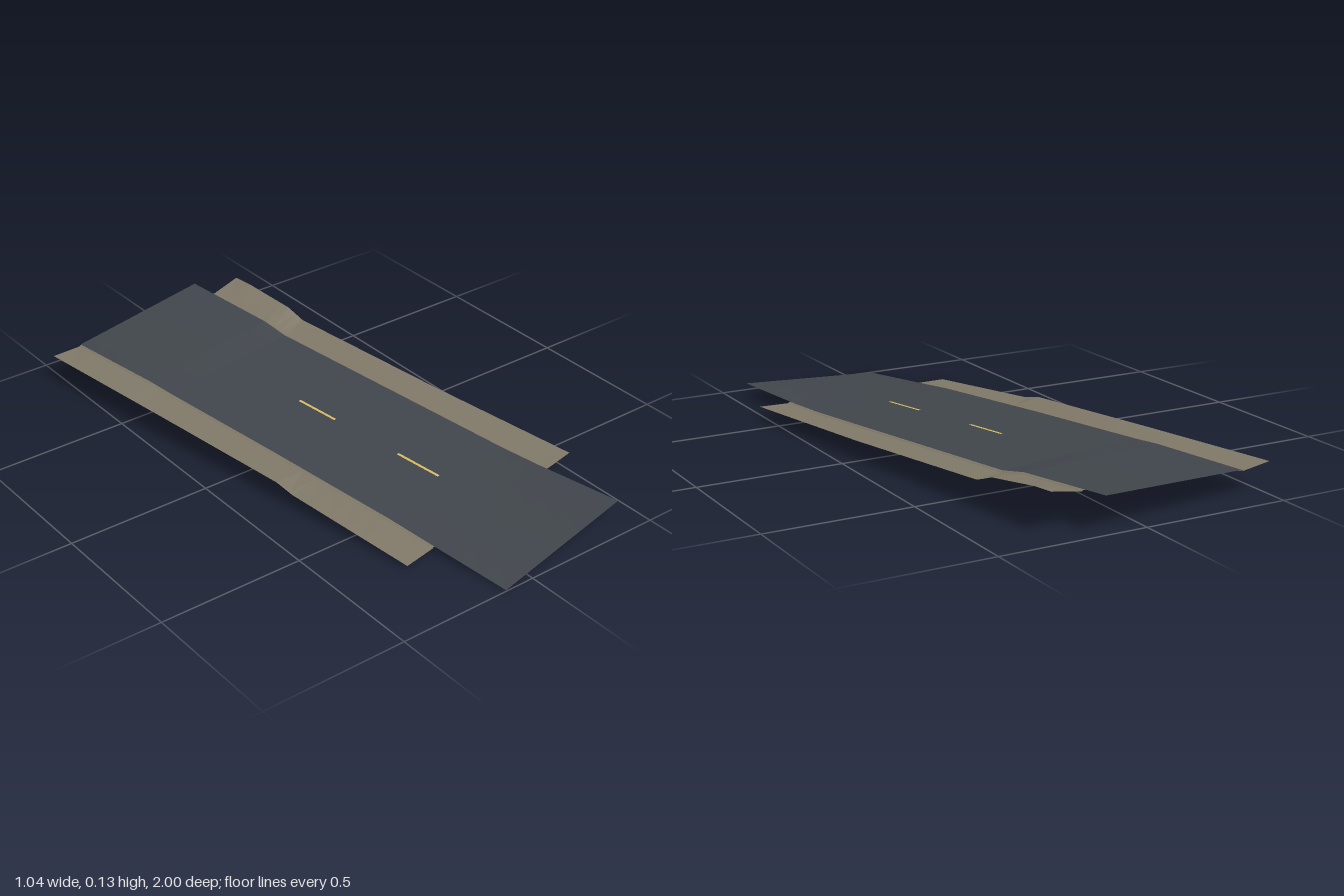
import * as THREE from 'three';

const HALF = 0.277; // half width of the road
const ANGLE = 0.155; // heading of the road in plan

// height profiles along the road: [distance towards the front, height]
const roadLeft = [[-0.967, 0.089], [-0.6, 0.085], [-0.5, 0.079], [0, 0.06], [0.5, 0.036], [0.65, 0.024], [0.967, 0]];
const roadRight = [[-0.967, 0.121], [-0.6, 0.1], [-0.5, 0.081], [0, 0.062], [0.5, 0.043], [0.65, 0.042], [0.967, 0.049]];
const vergeLeft = [[-0.966, 0.093], [-0.42, 0.079], [0.13, 0.062], [0.2, 0.046], [0.684, 0.012]];
const vergeRight = [[-0.872, 0.133], [-0.8, 0.131], [-0.6, 0.108], [-0.53, 0.083], [0.1, 0.058], [0.682, 0.045]];

function sample(profile, t) {
  for (let i = 1; i < profile.length; i++) {
    const [a, ya] = profile[i - 1], [b, yb] = profile[i];
    if (t <= b) return THREE.MathUtils.mapLinear(t, a, b, ya, yb);
  }
  return profile[profile.length - 1][1];
}

const roadHeight = (w, t) =>
  THREE.MathUtils.lerp(sample(roadLeft, t), sample(roadRight, t), (w + HALF) / (2 * HALF));

// open surface over columns w (left to right) and stations t (back to front)
function sheet(name, columns, stations, height, material) {
  const positions = [], index = [], n = columns.length;
  for (const t of stations) for (const w of columns) positions.push(w, height(w, t), t);
  for (let r = 0; r < stations.length - 1; r++) {
    for (let c = 0; c < n - 1; c++) {
      const a = r * n + c, b = a + 1, d = a + n, e = d + 1;
      index.push(a, d, b, b, d, e);
    }
  }
  const geometry = new THREE.BufferGeometry();
  geometry.setAttribute('position', new THREE.Float32BufferAttribute(positions, 3));
  geometry.setIndex(index);
  geometry.computeVertexNormals();
  const mesh = new THREE.Mesh(geometry, material);
  mesh.name = name;
  return mesh;
}

// even stations plus the breakpoints of the given profiles
function stationsFor(start, end, ...profiles) {
  const all = new Set([start, end]);
  for (let i = 1; i < 20; i++) all.add(start + (end - start) * i / 20);
  for (const p of profiles) for (const [t] of p) if (t > start && t < end) all.add(t);
  return [...all].sort((a, b) => a - b);
}

export function createModel() {
  const paint = (name, color) =>
    Object.assign(new THREE.MeshStandardMaterial({ color, side: THREE.DoubleSide, flatShading: true }), { name });
  const asphalt = paint('asphalt', 0x40454b);
  const gravel = paint('gravel', 0x7f7868);
  const yellow = paint('yellow paint', 0xd9b85c);

  const model = new THREE.Group();
  model.name = 'roadSegment';
  const road = new THREE.Group();
  road.name = 'road';
  road.rotation.y = ANGLE;
  road.position.set(0.021, 0, -0.002);
  model.add(road);

  // carriageway, twisted at both ends
  const columns = Array.from({ length: 9 }, (_, i) => HALF * (i / 4 - 1));
  road.add(sheet('carriageway', columns, stationsFor(-0.967, 0.967, roadLeft, roadRight), roadHeight, asphalt));

  // gravel verges: tucked under the road edge, small drop, then out to the rim
  for (const [side, name, rim] of [[-1, 'rightVerge', vergeLeft], [1, 'leftVerge', vergeRight]]) {
    const stations = stationsFor(rim[0][0], rim[rim.length - 1][0], rim, roadLeft, roadRight);
    const cols = [0.267, 0.279, 0.285, 0.4].map((w) => w * side).sort((a, b) => a - b);
    const height = (w, t) => {
      const d = Math.abs(w);
      if (d > 0.39) return sample(rim, t);
      return roadHeight(Math.min(d, HALF) * side, t) - (d > 0.28 ? 0.005 : 0.002);
    };
    road.add(sheet(name, cols, stations, height, gravel));
  }

  // dashed centre line
  for (const [start, end] of [[-0.16, 0.005], [0.285, 0.46]]) {
    road.add(sheet('centreDash', [-0.001, 0.009], stationsFor(start, end, roadLeft),
      (w, t) => roadHeight(w, t) + 0.002, yellow));
  }
  return model;
}
